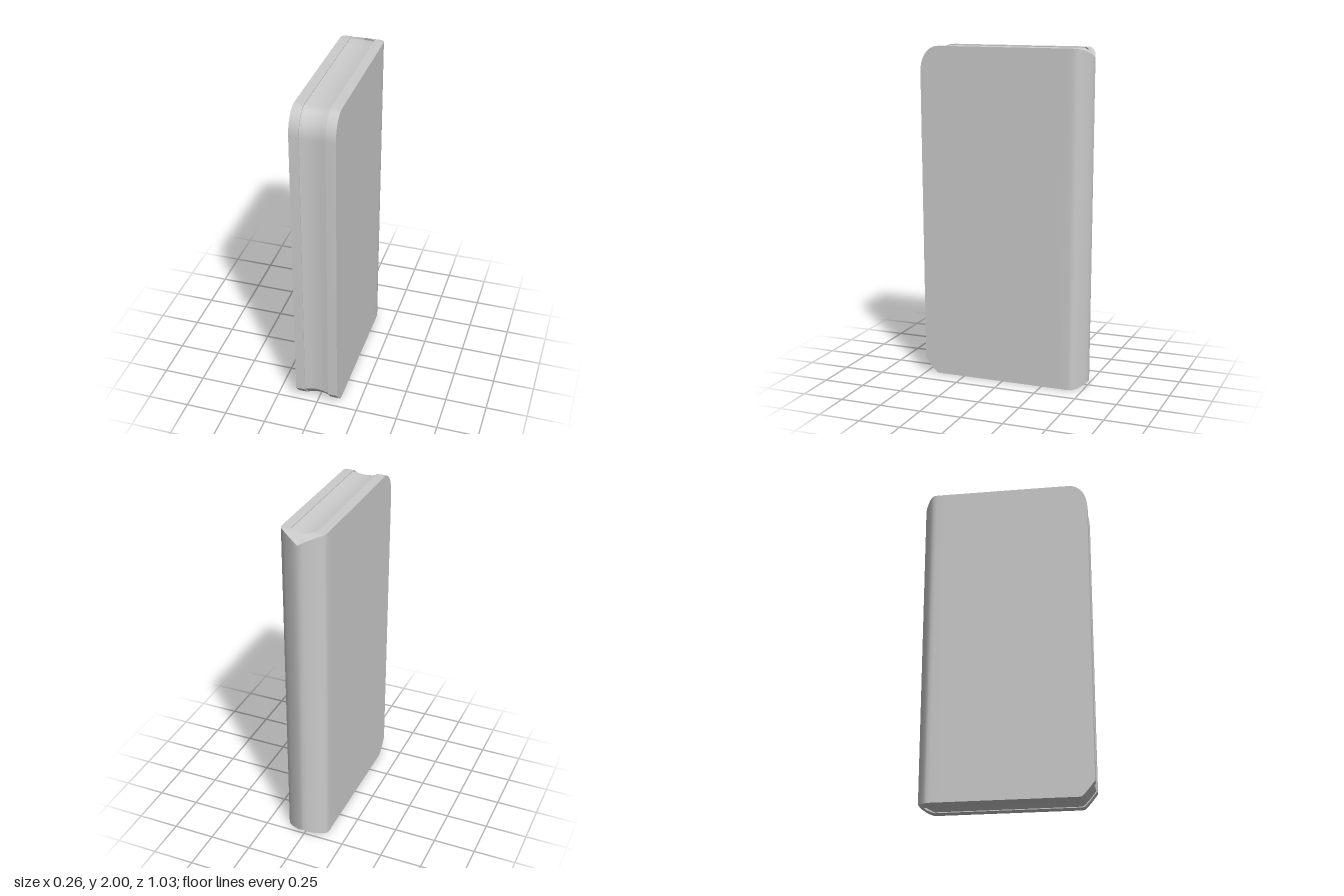
import * as THREE from 'three';
import { toCreasedNormals } from 'three/addons/utils/BufferGeometryUtils.js';

const FRONT = 0.51;

// Quarter-round drop: 0 before the corner starts, `drop` at its end
const round = (t, drop) => (t <= 0 ? 0 : drop * (1 - Math.sqrt(Math.max(0, 1 - t * t))));

// Height of the upper and lower edges of the book at depth z
const topAt = (z) => 2 - round((z - 0.4) / 0.11, 0.15) - round((-z - 0.43) / 0.085, 0.07);
const bottomAt = (z) =>
  0.09 * Math.pow(Math.max(0, (z - 0.43) / 0.08), 1.2) + round((-z - 0.43) / 0.085, 0.04);

// The book is a touch deeper at its top than at its bottom
const place = (x, y, z) => [x, y, z * (1 + 0.01 * (y - 1))];

// Skin a row of closed rings, with both ends capped
function loft(rings) {
  const n = rings[0].length;
  const index = [];
  for (let i = 0; i < rings.length - 1; i++) {
    for (let k = 0; k < n; k++) {
      const a = i * n + k, b = i * n + ((k + 1) % n);
      index.push(a, a + n, b + n, a, b + n, b);
    }
  }
  const last = (rings.length - 1) * n;
  for (let k = 1; k < n - 1; k++) {
    index.push(0, k, k + 1, last, last + k + 1, last + k);
  }
  const geometry = new THREE.BufferGeometry();
  geometry.setAttribute('position', new THREE.Float32BufferAttribute(rings.flat(2), 3));
  geometry.setIndex(index);
  return toCreasedNormals(geometry.toNonIndexed(), 0.62);
}

// Depths from the fore edge towards the spine, dense around the rounded corner
function depths() {
  const list = [];
  for (let i = 10; i >= 0; i--) list.push(0.4 + (FRONT - 0.4) * Math.sin((i / 10) * Math.PI / 2));
  return [...list, 0.2, 0, -0.2, -0.36];
}

// Cover: one U-shaped wall running around both boards and the pointed spine
function coverGeometry() {
  const outerX = 0.13, innerX = 0.073;
  // each station: outer x, outer z, inner x, inner z
  const half = depths().map((z) => [outerX, z, innerX, z]);
  half.push(
    [0.13, -0.42, 0.073, -0.41],
    [0.126, -0.442, 0.073, -0.43],
    [0.115, -0.455, 0.06, -0.439],
    [0.09, -0.473, 0.046, -0.449],
    [0.05, -0.496, 0.025, -0.463],
    [0.025, -0.506, 0.012, -0.47],
  );
  const mirrored = half.map(([ox, oz, ix, iz]) => [-ox, oz, -ix, iz]).reverse();
  const stations = [...half, [0, -0.513, 0, -0.476], ...mirrored];
  return loft(stations.map(([ox, oz, ix, iz]) => [
    place(ox, bottomAt(oz), oz),
    place(ox, topAt(oz), oz),
    place(ix, topAt(iz), iz),
    place(ix, bottomAt(iz), iz),
  ]));
}

// Page block: the same side outline, hollowed slightly towards the middle
function pagesGeometry() {
  const zs = [...depths(), -0.43, -0.455, -0.478];
  const rings = [];
  for (let i = 0; i <= 12; i++) {
    const x = -0.074 + (0.148 * i) / 12;
    const inset = 0.005 + 0.008 * Math.cos((x / 0.074) * Math.PI / 2);
    const point = (y, z) => place(x, 1 + (y - 1) * (1 - inset), z > 0 ? z * (1 - inset * 1.8) : z);
    rings.push([
      ...zs.map((z) => point(topAt(z), z)),
      ...[...zs].reverse().map((z) => point(bottomAt(z), z)),
    ]);
  }
  return loft(rings);
}

export function createModel() {
  const material = new THREE.MeshStandardMaterial({ color: 0xcccccc });
  const book = new THREE.Group();
  book.name = 'book';
  const add = (name, geometry) => {
    const mesh = new THREE.Mesh(geometry, material);
    mesh.name = name;
    book.add(mesh);
  };
  add('cover', coverGeometry());
  add('pages', pagesGeometry());
  return book;
}
